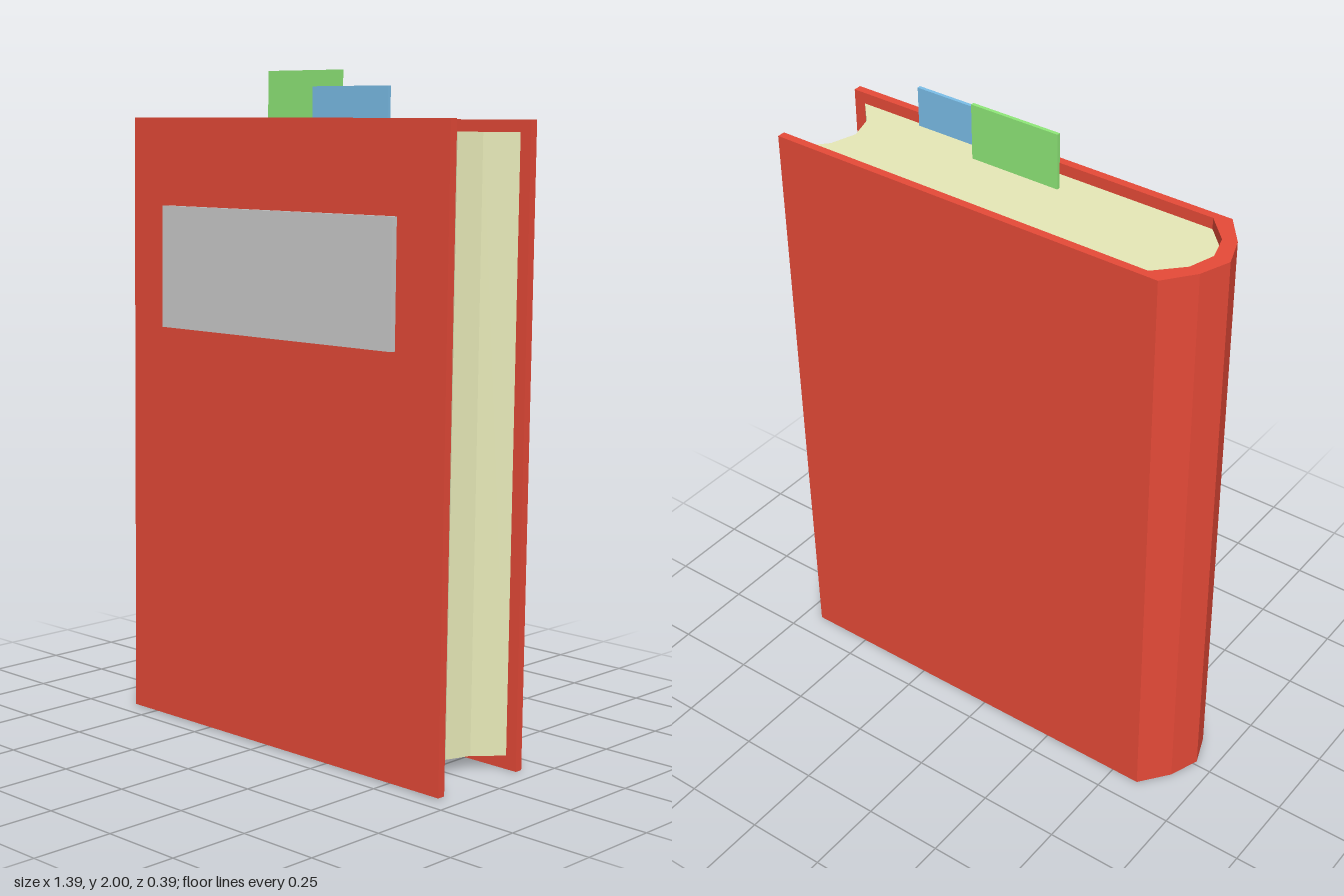
import * as THREE from 'three';

const mat = (color) => new THREE.MeshStandardMaterial({ color, flatShading: true });

// Mirrors a half outline (z >= 0) across z = 0; the last point lies on the axis.
const mirrored = (half) => [...half, ...half.slice(0, -1).reverse().map(([x, z]) => [x, -z])];

// Upright prism from a plan outline, between two heights.
function prism(name, outline, y0, y1, material) {
  const shape = new THREE.Shape(outline.map(([x, z]) => new THREE.Vector2(x, -z)));
  const geo = new THREE.ExtrudeGeometry(shape, { depth: y1 - y0, bevelEnabled: false });
  geo.rotateX(-Math.PI / 2).translate(0, y0, 0);
  const mesh = new THREE.Mesh(geo, material);
  mesh.name = name;
  return mesh;
}

// Box given by its limits on each axis.
function slab(name, [x0, x1], [y0, y1], [z0, z1], material) {
  const mesh = new THREE.Mesh(new THREE.BoxGeometry(x1 - x0, y1 - y0, z1 - z0), material);
  mesh.position.set((x0 + x1) / 2, (y0 + y1) / 2, (z0 + z1) / 2);
  mesh.name = name;
  return mesh;
}

export function createModel() {
  const model = new THREE.Group();
  model.name = 'book';

  // The whole book leans back very slightly
  const book = new THREE.Group();
  book.name = 'leaningBook';
  book.rotation.x = -0.0134;
  book.position.set(0, 0.0025, 0.0125);
  model.add(book);

  // Faceted spine curve, outside and inside
  const outer = mirrored([[0.692, 0.182], [-0.59, 0.182], [-0.66, 0.093], [-0.695, 0]]);
  const spineInner = mirrored([[-0.545, 0.157], [-0.62, 0.08], [-0.645, 0]]);

  // Cover: two boards joined by the spine
  const cover = [...outer, [0.692, -0.157], ...[...spineInner].reverse(), [0.692, 0.157]];
  book.add(prism('cover', cover, 0, 1.86, mat(0xe64a38)));

  // Page block with hollowed fore edge
  const foreEdge = mirrored([[0.655, 0.157], [0.585, 0.08], [0.56, 0]]);
  const pages = [...spineInner, ...foreEdge.reverse()];
  book.add(prism('pages', pages, 0.04, 1.825, mat(0xe6e8b7)));

  // Label on the front board
  book.add(slab('label', [-0.44, 0.505], [1.225, 1.595], [0.175, 0.2], mat(0xcccccc)));

  // Bookmarks standing out of the pages
  book.add(slab('greenBookmark', [-0.09, 0.203], [1.7, 1.996], [0.084, 0.095], mat(0x8fe878)));
  book.add(slab('blueBookmark', [0.153, 0.442], [1.7, 1.948], [0.145, 0.156], mat(0x7bbee8)));

  return model;
}
